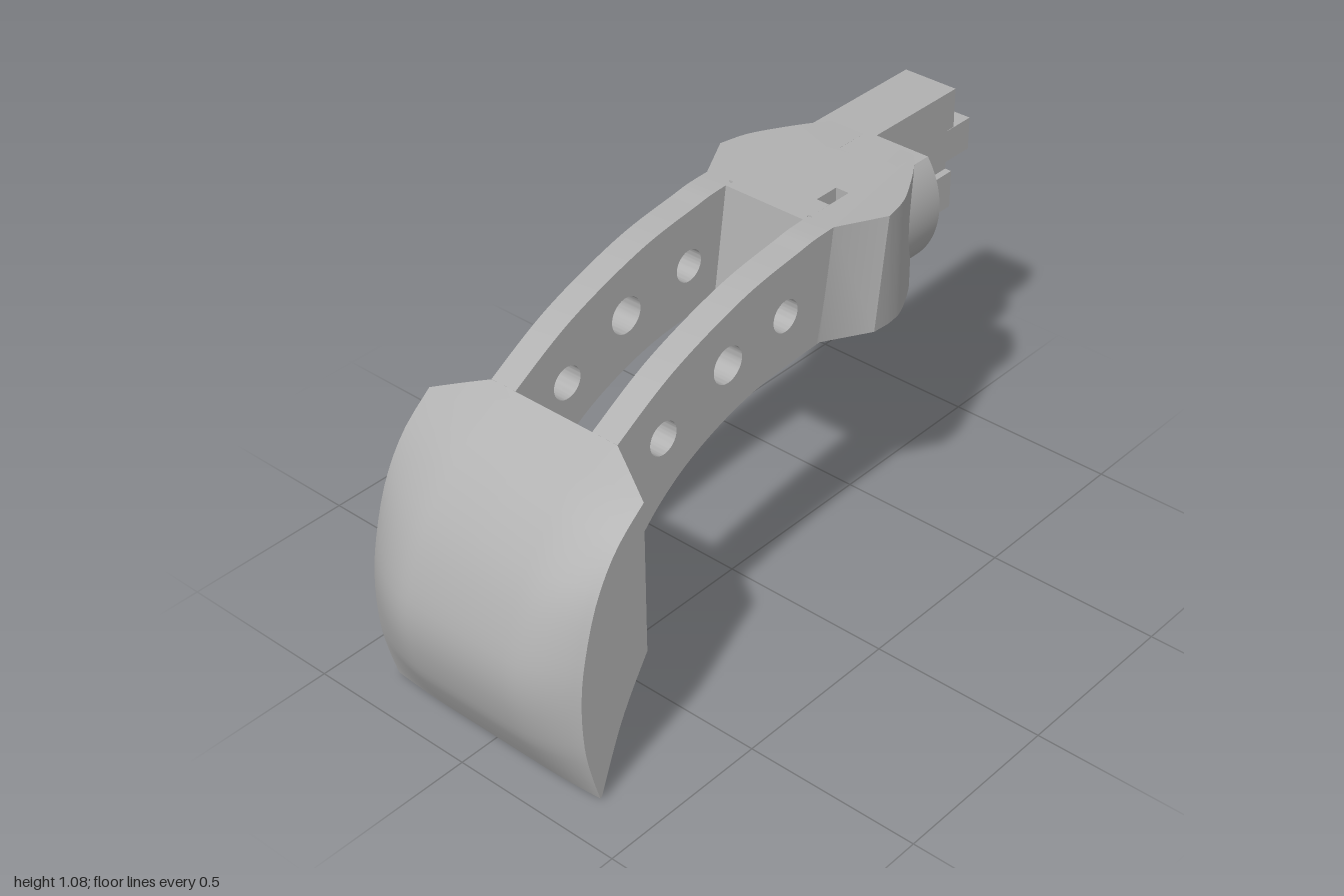
import * as THREE from 'three';
import { toCreasedNormals } from 'three/addons/utils/BufferGeometryUtils.js';

const V = (p) => new THREE.Vector2(p[0], p[1]);
const spline = (pts, n) => new THREE.SplineCurve(pts.map(V)).getPoints(n);
const lerp = THREE.MathUtils.lerp;

// height of a curve (x increasing) at x
function yAt(curve, x) {
  for (let i = 1; i < curve.length; i++) {
    const a = curve[i - 1], b = curve[i];
    if (x <= b.x) return lerp(a.y, b.y, (x - a.x) / (b.x - a.x));
  }
  return curve[curve.length - 1].y;
}

// side-view curves of the arched body
const upper = spline([[-0.705, 0.805], [-0.635, 0.85], [-0.44, 0.955], [-0.2, 1.035], [0.0, 1.068], [0.14, 1.08], [0.56, 1.08]], 60);
const lower = spline([[-0.88, 0], [-0.8, 0.2], [-0.705, 0.36], [-0.635, 0.46], [-0.5, 0.6], [-0.35, 0.69], [-0.15, 0.75],
  [0.1, 0.768], [0.22, 0.765], [0.4, 0.74], [0.565, 0.707]], 80);

export function createModel() {
  const group = new THREE.Group();
  const grey = new THREE.MeshStandardMaterial({ color: 0xb0b0b0 });
  grey.name = 'plain grey';
  const add = (name, geo, crease = 0.5) => {
    const mesh = new THREE.Mesh(toCreasedNormals(geo, crease), grey);
    mesh.name = name;
    group.add(mesh);
  };
  const extrude = (shape, depth) => new THREE.ExtrudeGeometry(shape, { depth, bevelEnabled: false, curveSegments: 32 });
  const rectPath = (x0, y0, x1, y1) => new THREE.Path([[x0, y0], [x1, y0], [x1, y1], [x0, y1]].map(V));
  const circlePath = (x, y, r) => new THREE.Path().absarc(x, y, r, 0, Math.PI * 2);

  // two arched side arms with three round holes each
  const x0 = -0.635, x1 = 0.14;
  const inside = (p) => p.x > x0 + 0.004 && p.x < x1 - 0.004;
  for (const side of [1, -1]) {
    const pts = [
      new THREE.Vector2(x0, yAt(lower, x0)), ...lower.filter(inside), new THREE.Vector2(x1, yAt(lower, x1)),
      new THREE.Vector2(x1, yAt(upper, x1)), ...upper.filter(inside).reverse(), new THREE.Vector2(x0, yAt(upper, x0)),
    ];
    const shape = new THREE.Shape(pts);
    const shift = side < 0 ? 0.018 : 0;
    shape.holes.push(circlePath(-0.48 + shift, 0.785, 0.046), circlePath(-0.25, 0.875, 0.051), circlePath(-0.038 + shift, 0.91, 0.045));
    const geo = extrude(shape, 0.08);
    geo.translate(0, 0, side > 0 ? 0.125 : -0.205);
    add(side > 0 ? 'frontArm' : 'backArm', geo);
  }

  // sloped root of the claw between the arms
  const root = new THREE.Shape([
    new THREE.Vector2(x0, yAt(lower, x0)), ...lower.filter((p) => p.x > x0 + 0.004 && p.x < -0.55),
    new THREE.Vector2(-0.547, yAt(lower, -0.547)), new THREE.Vector2(x0, yAt(upper, x0)),
  ]);
  add('clawRoot', extrude(root, 0.25).translate(0, 0, -0.125));

  // wide claw: sections across z, the back rounding off toward the sides
  const N = 24;
  const mid = spline([[-0.88, 0], [-0.935, 0.1], [-0.975, 0.19], [-1, 0.32], [-0.985, 0.44], [-0.92, 0.59], [-0.81, 0.725], [-0.705, 0.805]], N);
  const edge = spline([[-0.88, 0.012], [-0.905, 0.1], [-0.925, 0.2], [-0.93, 0.33], [-0.915, 0.45], [-0.87, 0.6], [-0.8, 0.715], [-0.705, 0.797]], N);
  const half = [0, 0.16, 0.185, 0.205, 0.23, 0.26, 0.29, 0.32, 0.335, 0.35];
  const stations = [...half.slice(1).reverse().map((z) => -z), ...half];
  const pos = [], idx = [], L = 2 * (N + 2);
  for (const z of stations) {
    const a = Math.abs(z);
    const w = Math.pow(Math.max(0, (a - 0.16) / 0.19), 1.8);
    const xe = lerp(-0.635, -0.705, Math.max(0, (a - 0.205) / 0.145));
    const outer = mid.map((p, i) => p.clone().lerp(edge[i], w));
    outer.push(new THREE.Vector2(xe, outer[N].y + (xe + 0.705) * 0.64));
    const inner = outer.map((p, i) => {
      const x = lerp(-0.88, xe, i / (N + 1));
      return new THREE.Vector2(x, i ? yAt(lower, x) : p.y);
    });
    for (const p of [...outer, ...inner.reverse()]) pos.push(p.x, p.y, z);
  }
  for (let s = 0; s < stations.length - 1; s++) {
    for (let i = 0; i < L; i++) {
      const a = s * L + i, b = s * L + (i + 1) % L;
      idx.push(a, a + L, b, b, a + L, b + L);
    }
  }
  const last = (stations.length - 1) * L;
  for (let i = 0; i < N + 1; i++) {
    const o = i, o2 = i + 1, n = L - 1 - i, n2 = L - 2 - i;
    idx.push(o, o2, n, o2, n2, n);
    idx.push(last + o, last + n, last + o2, last + o2, last + n, last + n2);
  }
  const claw = new THREE.BufferGeometry();
  claw.setAttribute('position', new THREE.Float32BufferAttribute(pos, 3));
  claw.setIndex(idx);
  add('claw', claw);

  // hub: plan outline with slot and pin holes, bent to the lower curve
  const flank = [V([0.12, 0.205]), V([0.14, 0.205]), ...spline([[0.27, 0.275], [0.35, 0.256], [0.43, 0.215], [0.51, 0.165], [0.55, 0.13]], 16)];
  const plan = new THREE.Shape([
    ...flank.map((p) => new THREE.Vector2(p.x, -p.y)),
    ...[[0.55, -0.09], [0.45, -0.09], [0.45, 0.03], [0.55, 0.03]].map(V),
    ...flank.slice().reverse(),
  ]);
  plan.holes.push(rectPath(0.215, -0.13, 0.29, -0.09));
  for (const v of [-0.128, 0.128]) plan.holes.push(circlePath(0.14, v, 0.006));
  const hub = extrude(plan, 1).rotateX(-Math.PI / 2);
  const hp = hub.attributes.position;
  for (let i = 0; i < hp.count; i++) {
    let x = hp.getX(i);
    const t = hp.getY(i), z = hp.getZ(i);
    if (x < 0.2 || (x < 0.28 && Math.abs(z) > 0.2)) x -= 0.045 * (1 - t);
    hp.setXYZ(i, x, lerp(yAt(lower, x), yAt(upper, x), t), z);
  }
  add('hub', hub);

  // flat-topped round shaft; shape axis u points to -z
  const cy = 0.943, rx = 0.21, ry = 0.223, a = Math.asin((1.08 - cy) / ry);
  const full = new THREE.Shape().absellipse(0, cy, rx, ry, Math.PI - a, 2 * Math.PI + a, false);
  full.closePath();
  full.holes.push(rectPath(-0.08, 0.85, 0.02, 0.945));
  const collar = extrude(full, 0.145).rotateY(Math.PI / 2).translate(0.42, 0, 0);
  const cp = collar.attributes.position;
  for (let i = 0; i < cp.count; i++) {
    if (cp.getX(i) < 0.43) cp.setY(i, Math.max(cp.getY(i), 0.742));
  }
  add('shaftCollar', collar);

  // half shaft with a shallow groove along its flat face
  const halfShape = new THREE.Shape().absellipse(0, cy, rx, ry, -Math.PI / 2, a, false);
  for (const [u, y] of [[0, 1.08], [0, 0.965], [0.02, 0.965], [0.02, 0.83], [0, 0.83]]) halfShape.lineTo(u, y);
  halfShape.closePath();
  add('halfShaft', extrude(halfShape, 0.335).rotateY(Math.PI / 2).translate(0.565, 0, 0));

  // square end peg
  add('endPeg', new THREE.BoxGeometry(0.11, 0.095, 0.095).translate(0.945, 0.8975, -0.0675));

  return group;
}
